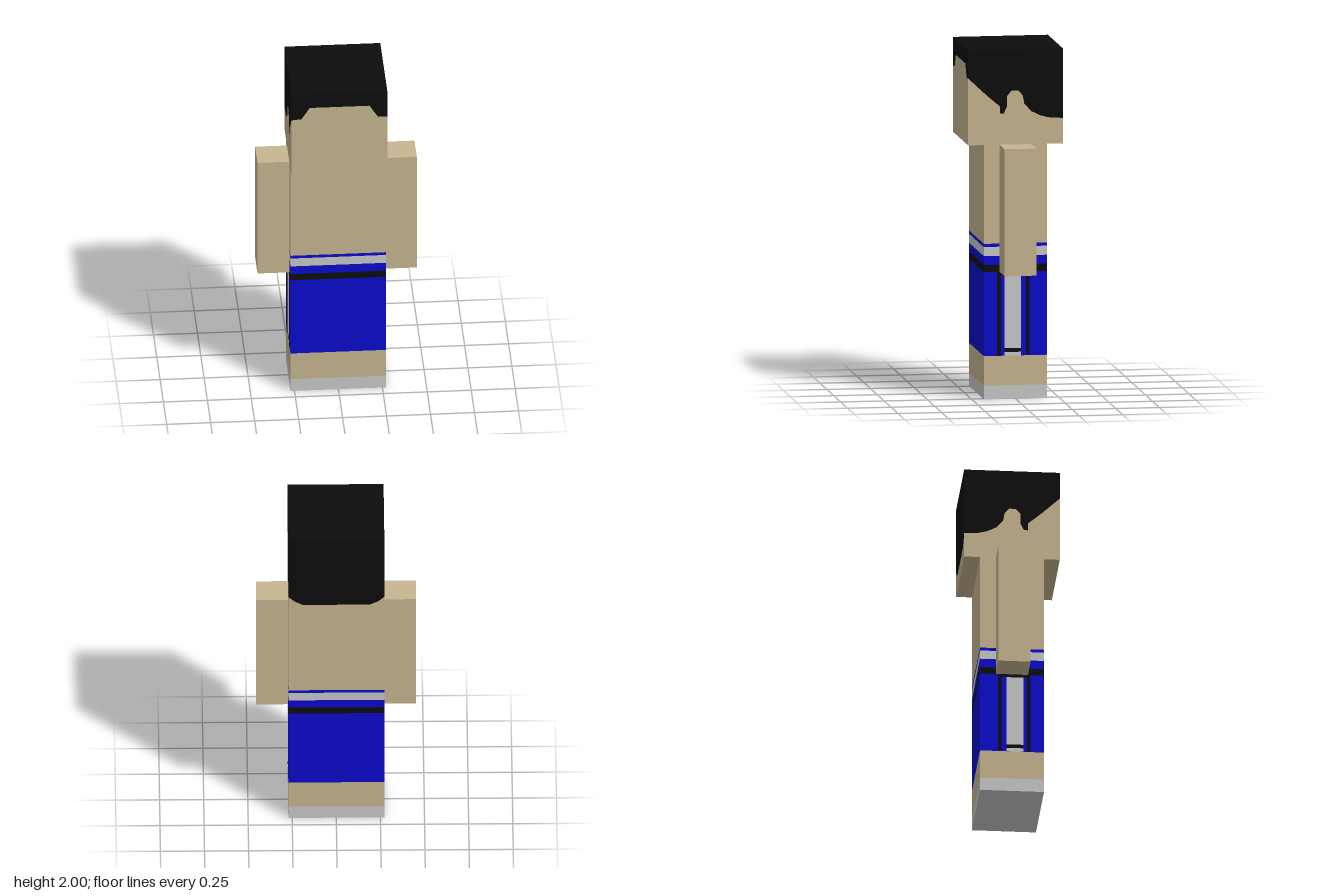
import * as THREE from 'three';

const mat = (name, color) => {
  const m = new THREE.MeshStandardMaterial({ color });
  m.name = name;
  return m;
};

export function createModel() {
  const skin = mat('skin', 0xc8b691);
  const black = mat('black', 0x0d0d0d);
  const blue = mat('blue', 0x0b0bce);
  const white = mat('white', 0xcacaca);

  const root = new THREE.Group();
  root.name = 'blockFigure';

  const group = (name) => {
    const g = new THREE.Group();
    g.name = name;
    root.add(g);
    return g;
  };
  const add = (parent, name, geo, material) => {
    const m = new THREE.Mesh(geo, material);
    m.name = name;
    parent.add(m);
    return m;
  };
  // box given by its limits
  const box = (parent, name, material, [x0, x1], [y0, y1], [z0, z1]) => {
    const m = add(parent, name, new THREE.BoxGeometry(x1 - x0, y1 - y0, z1 - z0), material);
    m.position.set((x0 + x1) / 2, (y0 + y1) / 2, (z0 + z1) / 2);
    return m;
  };

  const H = 0.272; // half width of head and torso
  const D = 0.182; // half depth of torso and legs
  const NECK = 1.456, HIP = 0.728, TOP = 2;

  // Head: each side is split along the hairline into a hair face and a skin face
  const head = group('head');
  const frontLine = [[-H, 1.835], [-0.217, 1.84], [-0.2, 1.865], [-0.17, 1.912],
    [0.17, 1.912], [0.2, 1.865], [0.217, 1.84], [H, 1.835]];
  const backLine = [[-H, 1.605], [-0.24, 1.575], [-0.19, 1.55], [0.19, 1.55], [0.24, 1.575], [H, 1.605]];
  const sideLine = [[-H, 1.84], [-0.225, 1.795], [-0.16, 1.735], [-0.09, 1.676], [-0.09, 1.634],
    [-0.068, 1.634], [-0.048, 1.676], [-0.048, 1.735], [-0.022, 1.765], [0.016, 1.765],
    [0.042, 1.735], [0.05, 1.69], [0.09, 1.645], [0.14, 1.62], [0.2, 1.605], [H, 1.602]];
  const mirrored = sideLine.map(([u, y]) => [-u, y]).reverse();

  const faceShape = (line, edgeY) => new THREE.ShapeGeometry(new THREE.Shape(
    [[-H, edgeY], ...line, [H, edgeY]].map(([u, y]) => new THREE.Vector2(u, y))));
  [
    ['front', frontLine, 0],
    ['left', sideLine, Math.PI / 2],
    ['back', backLine, Math.PI],
    ['right', mirrored, -Math.PI / 2],
  ].forEach(([side, line, turn]) => {
    add(head, side + 'Hair', faceShape(line, TOP).translate(0, 0, H).rotateY(turn), black);
    add(head, side + 'Skin', faceShape(line, NECK).translate(0, 0, H).rotateY(turn), skin);
  });
  const cap = () => new THREE.PlaneGeometry(2 * H, 2 * H);
  add(head, 'topHair', cap().rotateX(-Math.PI / 2).translate(0, TOP, 0), black);
  add(head, 'chin', cap().rotateX(Math.PI / 2).translate(0, NECK, 0), skin);

  // Torso with layered waistband
  const torso = group('torso');
  [
    ['waistLine', black, HIP, 0.769],
    ['waistPanel', blue, 0.769, 0.82],
    ['waistBand', white, 0.82, 0.872],
    ['waistTrim', blue, 0.872, 0.89],
    ['chest', skin, 0.89, NECK],
  ].forEach(([name, m, y0, y1]) => box(torso, name, m, [-H, H], [y0, y1], [-D, D]));

  // Arms and legs, mirrored by limits
  for (const s of [1, -1]) {
    const side = s > 0 ? 'left' : 'right';
    const span = (a, b) => (s > 0 ? [a, b] : [-b, -a]);
    box(root, side + 'Arm', skin, span(H, 0.453), [HIP, NECK], [-0.091, 0.091]);

    const leg = group(side + 'Leg');
    box(leg, 'shoe', white, span(0, H), [0, 0.078], [-D, D]);
    box(leg, 'shin', skin, span(0, H), [0.078, 0.247], [-D, D]);
    box(leg, 'shorts', blue, span(0, H), [0.247, HIP], [-D, D]);

    // Side stripe on the shorts
    const plate = span(H - 0.001, H + 0.002);
    box(leg, 'frontPiping', black, plate, [0.25, HIP], [0.085, 0.106]);
    box(leg, 'backPiping', black, plate, [0.25, HIP], [-0.08, -0.06]);
    box(leg, 'stripeTop', black, plate, [0.71, HIP], [-0.06, 0.085]);
    box(leg, 'stripe', white, plate, [0.29, 0.71], [-0.032, 0.064]);
    box(leg, 'stripeLine', black, plate, [0.268, 0.29], [-0.032, 0.064]);
    box(leg, 'stripeHem', white, plate, [0.247, 0.268], [-0.032, 0.064]);
  }

  return root;
}
